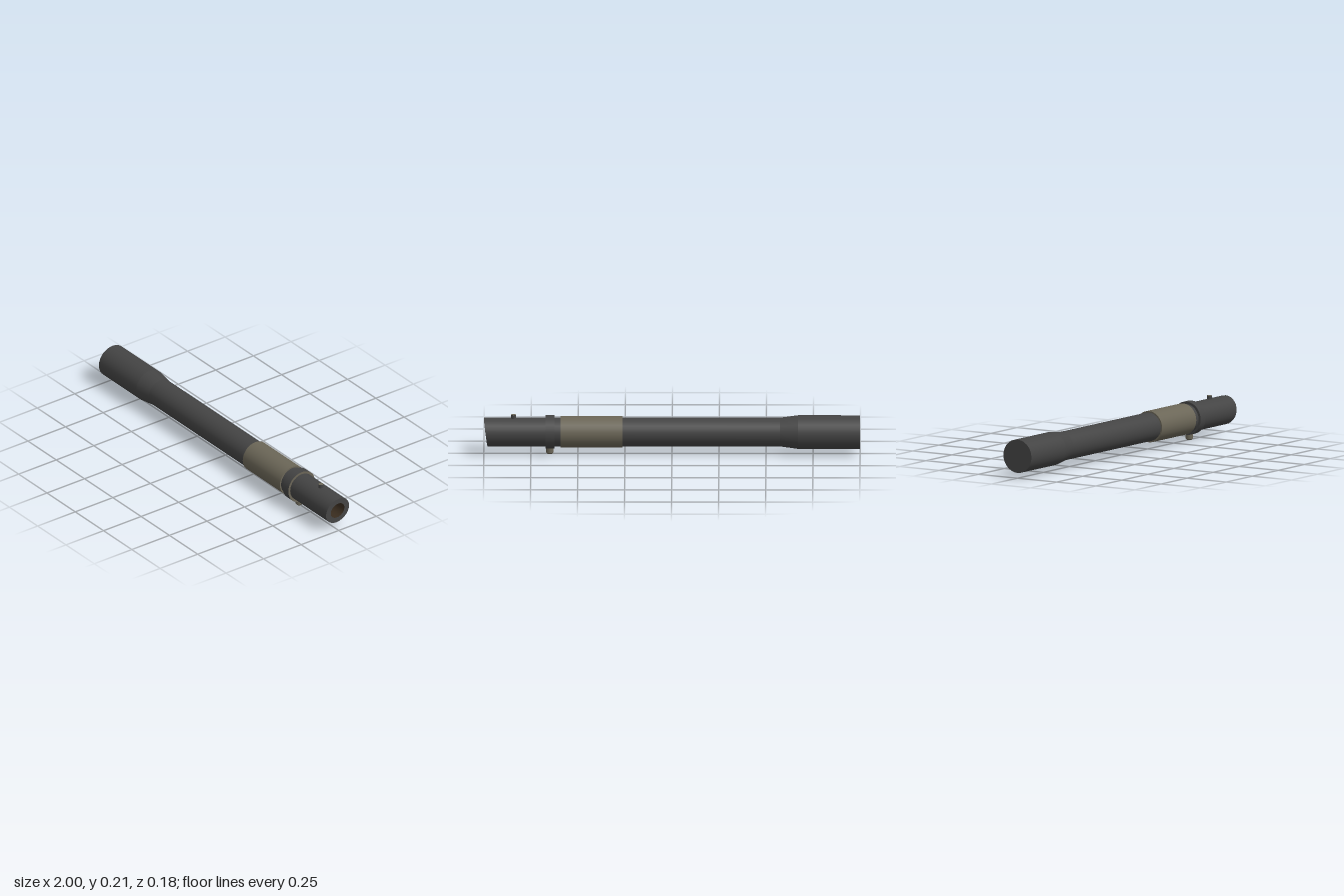
import * as THREE from 'three';

const AXIS_Y = 0.118;
const SEG = 28;

export function createModel() {
  const group = new THREE.Group();
  const material = (name, color, side = THREE.FrontSide) => {
    const m = new THREE.MeshStandardMaterial({ color, side });
    m.name = name;
    return m;
  };
  const steel = material('dark steel', 0x444444);
  const olive = material('olive metal', 0x6b6657);
  const boreBrown = material('bore brown', 0x3a2d1f, THREE.DoubleSide);

  const add = (name, geometry, mat, x = 0, y = AXIS_Y) => {
    const mesh = new THREE.Mesh(geometry, mat);
    mesh.name = name;
    mesh.position.set(x, y, 0);
    group.add(mesh);
    return mesh;
  };

  // Open tube wall along x, from radius r0 at x0 to radius r1 at x1
  const wall = (x0, x1, r0, r1 = r0) => {
    const g = new THREE.CylinderGeometry(r1, r0, x1 - x0, SEG, 1, true);
    return g.rotateZ(-Math.PI / 2).translate((x0 + x1) / 2, 0, 0);
  };
  // Flat ring or disc facing +x (dir 1) or -x (dir -1)
  const face = (x, inner, outer, dir) => {
    const g = inner > 0 ? new THREE.RingGeometry(inner, outer, SEG) : new THREE.CircleGeometry(outer, SEG);
    return g.rotateY(dir * Math.PI / 2).translate(x, 0, 0);
  };
  // Slant the muzzle end: the lower edge sits further back
  const slant = (g) => {
    const p = g.attributes.position;
    for (let i = 0; i < p.count; i++) {
      if (p.getX(i) > 0.95) p.setX(i, 0.99 + 0.13 * p.getY(i));
    }
    return g;
  };

  // Barrel: wide breech, taper and long tube
  add('breechCap', face(-1, 0, 0.0895, -1), steel);
  add('breech', wall(-1, -0.67, 0.0895), steel);
  add('breechTaper', wall(-0.67, -0.575, 0.0895, 0.0765), steel);
  add('barrel', slant(wall(-0.575, 0.99, 0.0765)), steel);

  // Slanted muzzle with hollow bore
  add('muzzleFace', slant(face(0.99, 0.045, 0.0765, 1)), steel);
  add('bore', slant(wall(0.6, 0.99, 0.045)), boreBrown);
  add('boreEnd', face(0.6, 0, 0.045, 1), boreBrown);

  // Olive sleeve
  add('sleeve', wall(0.263, 0.592, 0.084), olive);
  add('sleeveRearFace', face(0.263, 0.076, 0.084, -1), olive);
  add('sleeveFrontFace', face(0.592, 0.076, 0.084, 1), olive);

  // Clamp band
  add('band', wall(0.625, 0.673, 0.0895), steel);
  add('bandRearFace', face(0.625, 0.076, 0.0895, -1), steel);
  add('bandFrontFace', face(0.673, 0.076, 0.0895, 1), olive);

  // Clamp screw below the band, with a chamfered tip
  add('clampScrew', new THREE.CylinderGeometry(0.019, 0.019, 0.036, 12), olive, 0.65, 0.024);
  add('clampScrewTip', new THREE.CylinderGeometry(0.019, 0.014, 0.006, 12), olive, 0.65, 0.003);

  // Front sight peg
  add('sightPeg', new THREE.CylinderGeometry(0.0135, 0.0135, 0.026, 12), [steel, olive, steel], 0.843, 0.2);

  return group;
}
